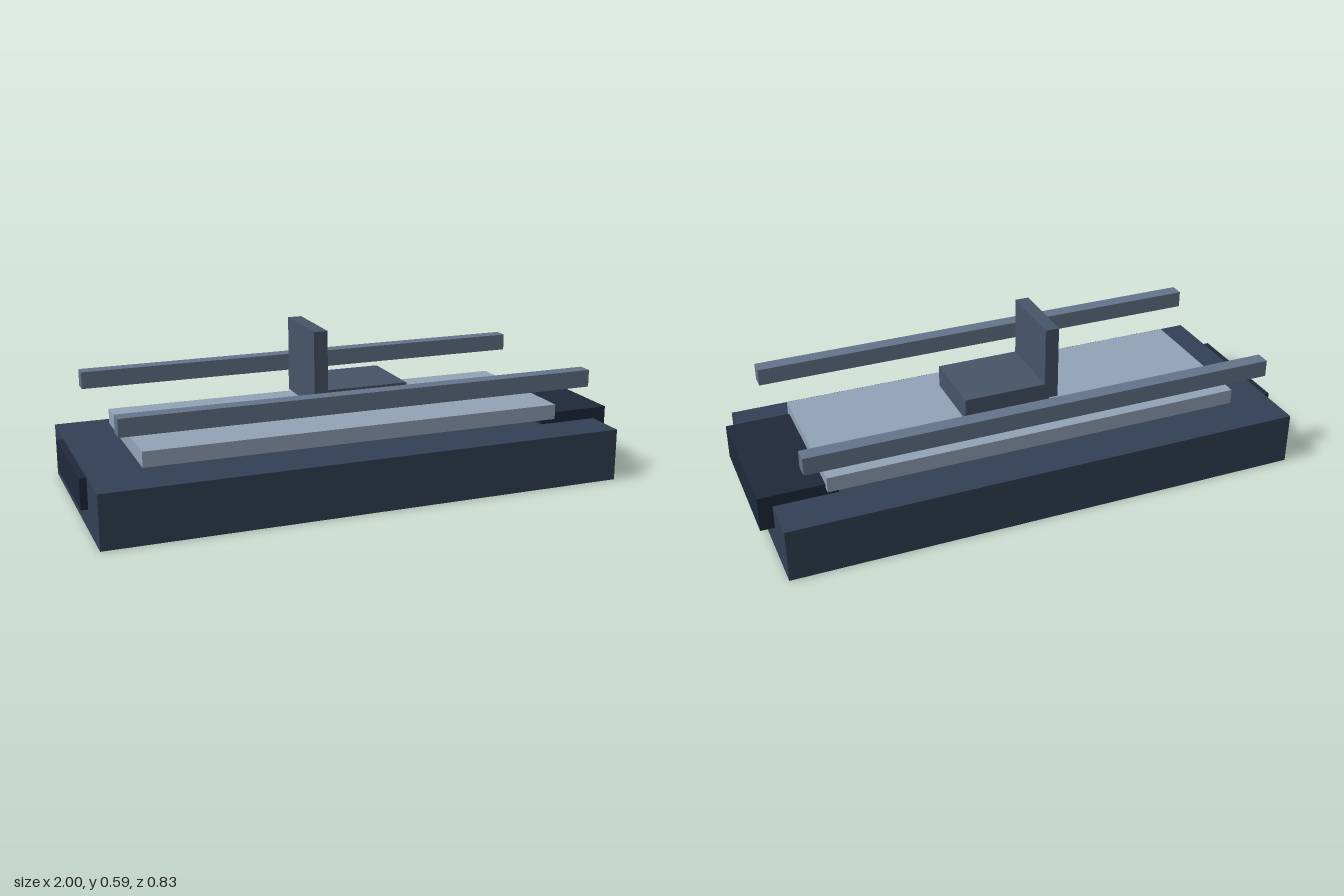
import * as THREE from 'three';

// Box given by its extents along each axis
function box(name, color, [x0, x1], [y0, y1], [z0, z1]) {
  const mesh = new THREE.Mesh(
    new THREE.BoxGeometry(x1 - x0, y1 - y0, z1 - z0),
    new THREE.MeshStandardMaterial({ color })
  );
  mesh.position.set((x0 + x1) / 2, (y0 + y1) / 2, (z0 + z1) / 2);
  mesh.name = name;
  return mesh;
}

export function createModel() {
  const model = new THREE.Group();
  model.name = 'platform';

  // Hull with a block let into each end
  model.add(
    box('base', 0x334155, [-0.975, 0.95], [0, 0.194], [-0.413, 0.413]),
    box('frontBlock', 0x1e293b, [0.722, 1], [0.108, 0.236], [-0.252, 0.252]),
    box('rearBlock', 0x1e293b, [-1, -0.82], [0.079, 0.19], [-0.229, 0.229])
  );

  // Pale deck floating just above the hull
  model.add(box('deck', 0x94a3b8, [-0.797, 0.766], [0.217, 0.273], [-0.275, 0.275]));

  // Seat and its upright back
  const chair = new THREE.Group();
  chair.name = 'chair';
  chair.add(
    box('seat', 0x475569, [-0.107, 0.217], [0.297, 0.378], [-0.138, 0.138]),
    box('backrest', 0x475569, [-0.141, -0.09], [0.32, 0.594], [-0.138, 0.138])
  );
  model.add(chair);

  // Matching side rails
  for (const [name, side] of [['leftRail', -1], ['rightRail', 1]]) {
    const rail = box(name, 0x64748b, [-0.887, 0.856], [0.352, 0.415], [-0.027, 0.027]);
    rail.position.z = side * 0.322;
    model.add(rail);
  }

  return model;
}
